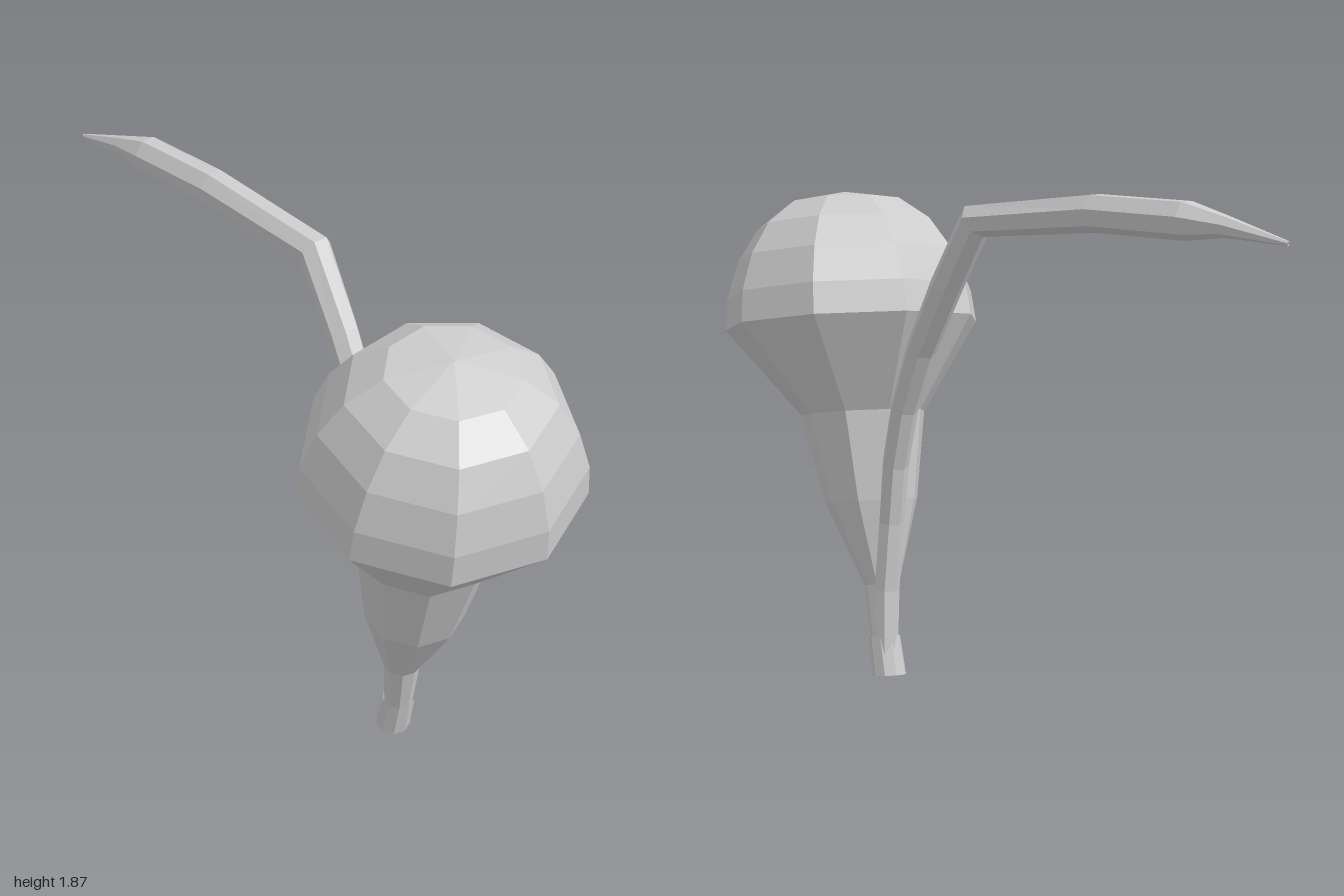
import * as THREE from 'three';

const V = (x, y, z) => new THREE.Vector3(x, y, z);

// Skin a row of sections {c: centre, r: radius, n: axis} with flat-sided rings.
function loft(name, sections, sides, sideDir, offset = 0) {
  const pos = [], index = [];
  sections.forEach(({ c, r, n }, i) => {
    const u = sideDir.clone().addScaledVector(n, -sideDir.dot(n)).normalize();
    const v = n.clone().cross(u);
    for (let j = 0; j < sides; j++) {
      const a = offset + (j / sides) * Math.PI * 2;
      const p = c.clone().addScaledVector(u, r * Math.cos(a)).addScaledVector(v, r * Math.sin(a));
      pos.push(p.x, p.y, p.z);
      if (i === 0) continue;
      const k = (j + 1) % sides, lo = (i - 1) * sides, hi = i * sides;
      index.push(lo + j, lo + k, hi + k, lo + j, hi + k, hi + j);
    }
  });
  const indexed = new THREE.BufferGeometry();
  indexed.setAttribute('position', new THREE.Float32BufferAttribute(pos, 3));
  indexed.setIndex(index);
  const geo = indexed.toNonIndexed();
  geo.computeVertexNormals();
  const mesh = new THREE.Mesh(geo, new THREE.MeshStandardMaterial({
    color: 0xcccccc, flatShading: true, side: THREE.DoubleSide,
  }));
  mesh.name = name;
  return mesh;
}

export function createModel() {
  const group = new THREE.Group();
  group.name = 'bulbWithTail';
  const lean = V(0.06, 1, 0.21).normalize();
  const leaning = ([x, y, z, r]) => ({ c: V(x, y, z), r, n: lean });

  // Bulb: thin neck, flared underside and faceted dome, leaning forward
  const bulb = [
    [0.383, 0.13, 0.247, 0.05],
    [0.395, 0.35, 0.285, 0.067],
    [0.44, 0.655, 0.365, 0.178],
    [0.475, 0.98, 0.43, 0.238],
    [0.52, 1.31, 0.5, 0.488],
  ];
  const dome = [[0.115, 0.475], [0.25, 0.425], [0.365, 0.345], [0.45, 0.225], [0.492, 0.002]];
  for (const [t, r] of dome) bulb.push([0.52 + 0.08 * t, 1.31 + t, 0.5 + 0.2 * t, r]);
  group.add(loft('bulb', bulb.map(leaning), 9, V(1, 0, 0)));

  // Short open sleeve at the foot
  const sleeve = [[0.362, 0.015, 0.217, 0.064], [0.383, 0.16, 0.248, 0.06]];
  group.add(loft('footSleeve', sleeve.map(leaning), 9, V(1, 0, 0)));

  // Tail: rises behind the neck, bends sharply and tapers to a point
  const path = [
    [0.375, 0.1, 0.22, 0.045],
    [0.375, 0.34, 0.245, 0.05],
    [0.355, 0.6, 0.24, 0.05],
    [0.335, 0.82, 0.215, 0.05],
    [0.295, 1.04, 0.165, 0.052],
    [0.225, 1.27, 0.08, 0.056],
    [0.125, 1.51, -0.04, 0.06],
    [0.01, 1.755, -0.165, 0.064],
    [-0.4, 1.807, -0.49, 0.066],
    [-0.69, 1.802, -0.735, 0.066],
    [-0.81, 1.79, -0.825, 0.036],
    [-0.995, 1.75, -0.97, 0.008],
  ];
  const points = path.map(([x, y, z]) => V(x, y, z));
  const tail = path.map((p, i) => {
    const dirIn = points[Math.max(i, 1)].clone().sub(points[Math.max(i, 1) - 1]).normalize();
    const k = Math.min(i, points.length - 2);
    const dirOut = points[k + 1].clone().sub(points[k]).normalize();
    return { c: points[i], r: p[3], n: dirIn.add(dirOut).normalize() };
  });
  group.add(loft('tail', tail, 7, V(0.65, 0, -0.76), Math.PI / 2));

  return group;
}
